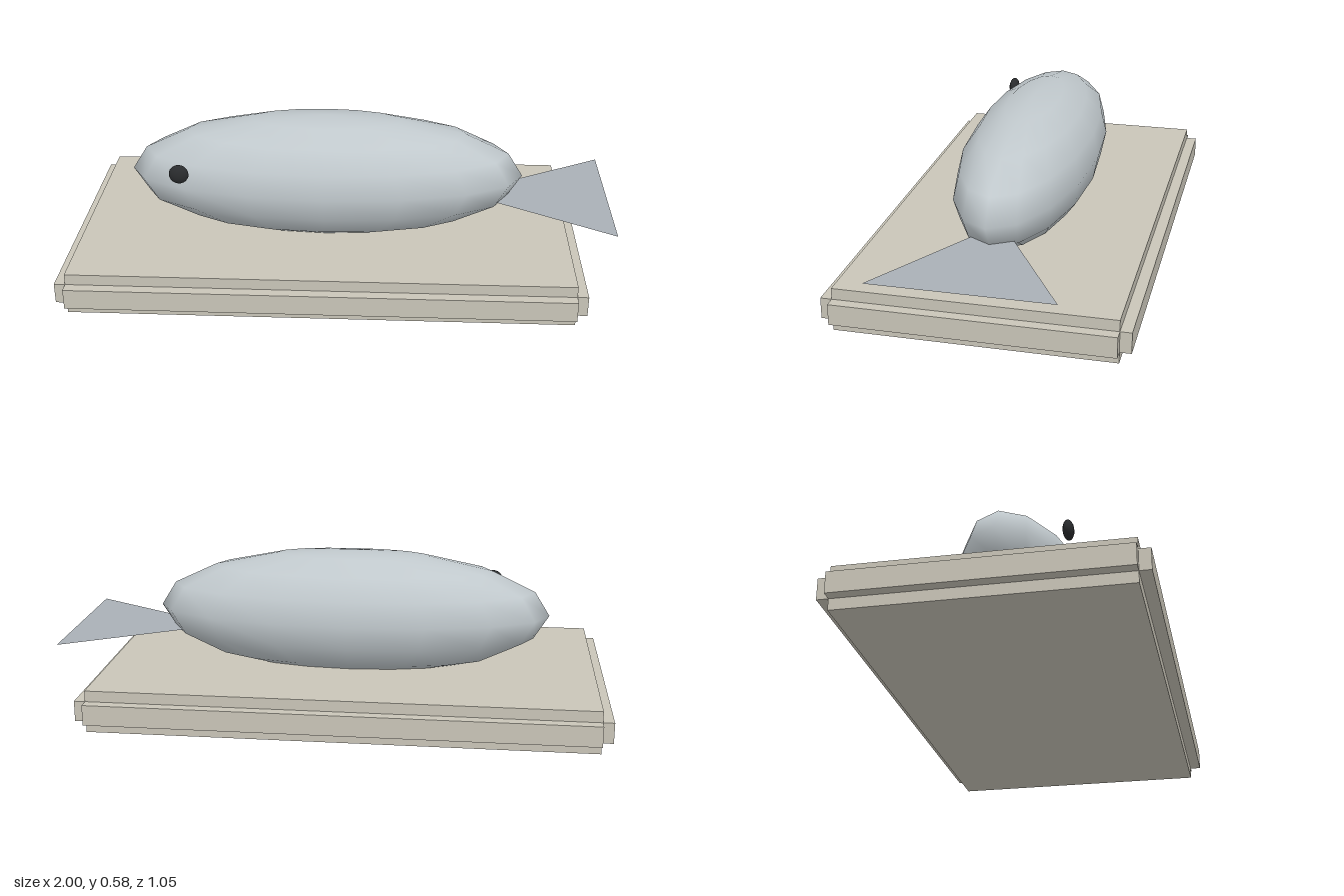
import * as THREE from 'three';

const material = (color, extra = {}) => new THREE.MeshStandardMaterial({ color, ...extra });

export function createModel() {
  const model = new THREE.Group();
  model.name = 'fishOnPlinth';

  const add = (name, geometry, mat, x, y, z, parent = model) => {
    const mesh = new THREE.Mesh(geometry, mat);
    mesh.name = name;
    mesh.position.set(x, y, z);
    parent.add(mesh);
    return mesh;
  };

  // Plinth: a core slab with a band that stands out on all four sides
  const plinth = new THREE.Group();
  plinth.name = 'plinth';
  model.add(plinth);
  const stone = material(0xc9c5b8);
  const slabs = [
    ['plinthCore', 1.81, 0.155, 0.97],
    ['plinthEndBand', 1.89, 0.075, 0.97],
    ['plinthSideBand', 1.81, 0.075, 1.05],
  ];
  for (const [name, w, h, d] of slabs) {
    add(name, new THREE.BoxGeometry(w, h, d), stone, -0.055, 0.08, 0, plinth);
  }
  plinth.position.y = -0.0025;

  // Body: a long low-poly ellipsoid sunk slightly into the plinth
  const body = new THREE.SphereGeometry(1, 16, 8).scale(0.735, 0.235, 0.245);
  add('body', body, material(0xc0c8cc), -0.055, 0.345, 0);

  // Tail: a flat horizontal triangle opening away from the body
  const tail = new THREE.CircleGeometry(0.364, 3, Math.PI / 3).rotateX(-Math.PI / 2);
  add('tailFin', tail, material(0xa9b0b6, { side: THREE.DoubleSide }), 0.818, 0.267, 0);

  // Eye: a single flattened bead beside the head
  const eye = new THREE.SphereGeometry(0.036, 16, 12).scale(1, 1, 0.55);
  add('eye', eye, material(0x2a2c2e), -0.58, 0.425, 0.21);

  return model;
}
